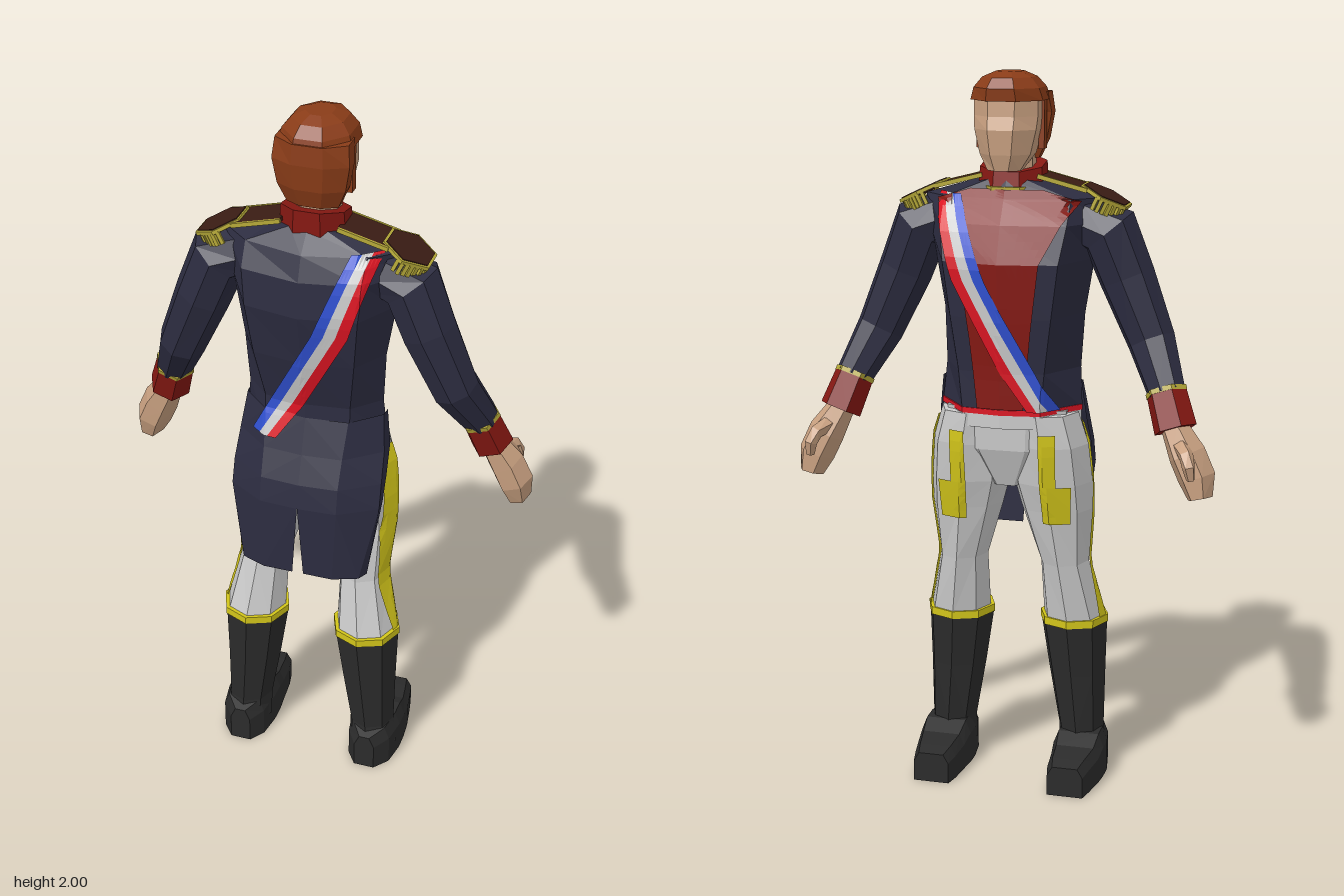
import * as THREE from 'three';

const C = {
  navy: 0x2c2c40, red: 0x861812, hair: 0x8a3c18, skin: 0xc8a080, boot: 0x2b2b2b, white: 0xcccccc,
  yellow: 0xd2c51a, gold: 0xb5a838, brown: 0x3a1c14, blue: 0x3050d0, sashRed: 0xdc1422,
};
const V = (x, y, z) => new THREE.Vector3(x, y, z);

function mesh(name, geo, color, thin = false) {
  const m = new THREE.Mesh(geo, new THREE.MeshStandardMaterial({
    color, flatShading: true, side: thin ? THREE.DoubleSide : THREE.FrontSide }));
  m.name = name;
  return m;
}

// Flat-shaded geometry from a grid of points; closed grids get end caps and outward faces
function loft(rings, closed = true) {
  const tris = [], n = rings[0].length;
  for (let i = 0; i < rings.length - 1; i++)
    for (let j = 0; j < (closed ? n : n - 1); j++) {
      const k = (j + 1) % n, a = rings[i][j], b = rings[i][k], c = rings[i + 1][k], d = rings[i + 1][j];
      tris.push([a, b, c], [a, c, d]);
    }
  if (closed) {
    const s = rings[0], e = rings[rings.length - 1];
    for (let j = 1; j < n - 1; j++) tris.push([s[0], s[j + 1], s[j]], [e[0], e[j], e[j + 1]]);
    const vol = tris.reduce((v, [a, b, c]) => v + a.dot(b.clone().cross(c)), 0);
    if (vol < 0) tris.forEach(t => t.reverse());
  }
  const g = new THREE.BufferGeometry().setFromPoints(tris.flat());
  g.computeVertexNormals();
  return g;
}

// Octagonal ring between x0..x1 and z0..z1; tilt raises the back, phase 0 puts corners on the axes
function oct([y, x0, x1, z0, z1, tilt = 0], phase) {
  const k = phase ? 1.08 : 1;
  return Array.from({ length: 8 }, (_, i) => {
    const a = (i + phase) * Math.PI / 4, s = Math.sin(a) * k, c = Math.cos(a) * k;
    return V((x0 + x1) / 2 + c * (x1 - x0) / 2, y + s * tilt, (z0 + z1) / 2 + s * (z1 - z0) / 2);
  });
}
const octLoft = (rows, phase = 0.5) => loft(rows.map(r => oct(r, phase)));

// Limb with rings square to its path: [x, y, z, radius across, radius fore-aft]
function limb(path, n = 6) {
  return loft(path.map((p, i) => {
    const a = path[Math.max(i - 1, 0)], b = path[Math.min(i + 1, path.length - 1)];
    const t = V(b[0] - a[0], b[1] - a[1], b[2] - a[2]).normalize();
    const u = t.clone().cross(V(0, 0, 1)).normalize(), w = u.clone().cross(t);
    return Array.from({ length: n }, (_, k) => {
      const q = k / n * Math.PI * 2;
      return V(p[0], p[1], p[2]).addScaledVector(u, Math.cos(q) * p[3])
        .addScaledVector(w, Math.sin(q) * (p[4] ?? p[3]));
    });
  }));
}

// Cloth patch projected onto meshes along dir; rows are [y, from, to]
function drape(targets, dir, rows, cols = 4, steps = 5) {
  const ray = new THREE.Raycaster(), grid = [];
  let depth = 0;
  const addRow = (y, a, b) => grid.push(Array.from({ length: cols + 1 }, (_, j) => {
    const s = a + (b - a) * j / cols;
    const o = dir.x ? V(-dir.x * 2, y, s) : V(s, y, -dir.z * 2);
    ray.set(o, dir);
    const hit = ray.intersectObjects(targets)[0];
    if (hit) depth = hit.distance - 0.007;
    return o.addScaledVector(dir, depth);
  }));
  rows.forEach((r, i) => {
    if (i) for (let k = 1; k <= steps; k++)
      addRow(...r.map((v, q) => THREE.MathUtils.lerp(rows[i - 1][q], v, k / steps)));
    else addRow(...r);
  });
  return loft(grid, false);
}

// Torso ring: front z, front corner, side, back corner, back z
const bodyRing = ([y, f, fx, fz, sx, sz, bx, bz, b]) => {
  const half = [[fx, fz], [sx, sz], [bx, bz]];
  return [V(0, y, f), ...half.map(([x, z]) => V(x, y, z)), V(0, y, b),
    ...half.reverse().map(([x, z]) => V(-x, y, z))];
};

// Everything that exists once per side, built on +x
function buildSide() {
  const g = new THREE.Group();
  const add = (...a) => { const m = mesh(...a); g.add(m); return m; };

  // trouser leg with stripes
  const leg = add('trouserLeg', octLoft([
    [1.08, 0.0, 0.195, -0.12, 0.085], [0.99, 0.0, 0.222, -0.12, 0.1], [0.88, 0.005, 0.232, -0.105, 0.11],
    [0.8, 0.027, 0.232, -0.086, 0.1], [0.64, 0.078, 0.217, -0.057, 0.118], [0.46, 0.08, 0.258, -0.028, 0.16]], 0), C.white);
  add('sideStripe', drape([leg], V(-1, 0, 0),
    [[1.05, -0.012, 0.04], [0.8, -0.005, 0.075], [0.62, 0.022, 0.09], [0.47, 0.03, 0.085]]), C.yellow, true);
  add('thighBraid', drape([leg], V(0, 0, 1), [[1.03, 0.105, 0.15], [0.88, 0.105, 0.15]]), C.yellow, true);
  add('thighBraidFoot', drape([leg], V(0, 0, 1), [[0.88, 0.105, 0.19], [0.77, 0.11, 0.185]]), C.yellow, true);

  // boot
  add('bootShaft', octLoft([[0.05, 0.125, 0.27, 0, 0.155], [0.13, 0.125, 0.257, -0.005, 0.142],
    [0.3, 0.095, 0.26, -0.015, 0.152], [0.455, 0.071, 0.264, -0.032, 0.165]], 0), C.boot);
  add('bootTrim', octLoft([[0.45, 0.069, 0.267, -0.035, 0.168], [0.472, 0.069, 0.267, -0.035, 0.168]], 0), C.yellow);
  add('foot', loft([[0.163, 0.165, 0.225, 0.11], [0.12, 0.135, 0.26, 0.125], [0.05, 0.125, 0.272, 0.13],
    [0, 0.125, 0.272, 0.128], [-0.05, 0.13, 0.268, 0.104], [-0.12, 0.136, 0.256, 0.095],
    [-0.163, 0.145, 0.247, 0.085]].map(([z, a, b, h]) =>
    [V(a, 0, z), V(b, 0, z), V(b, h * 0.7, z), V(b - 0.015, h, z), V(a + 0.015, h, z), V(a, h * 0.7, z)])), C.boot);

  // arm, cuff and hand
  add('sleeve', limb([[0.19, 1.6, 0.03, 0.07], [0.265, 1.575, 0.03, 0.085], [0.315, 1.45, 0.035, 0.078],
    [0.388, 1.28, 0.02, 0.067], [0.447, 1.15, -0.052, 0.052]], 8), C.navy);
  add('cuff', limb([[0.444, 1.155, -0.05, 0.056], [0.476, 1.062, -0.08, 0.06]], 6), C.red);
  add('cuffTrim', limb([[0.441, 1.163, -0.046, 0.058], [0.445, 1.151, -0.051, 0.058]], 6), C.gold);
  add('hand', limb([[0.472, 1.07, -0.08, 0.038, 0.042], [0.512, 1.0, -0.098, 0.052, 0.058],
    [0.54, 0.94, -0.104, 0.052, 0.06], [0.553, 0.885, -0.115, 0.034, 0.048]]), C.skin);
  add('thumb', limb([[0.495, 1.03, -0.11, 0.025], [0.52, 1.012, -0.165, 0.02],
    [0.53, 0.985, -0.178, 0.018], [0.535, 0.95, -0.172, 0.012]], 5), C.skin);

  // shoulder strap and hexagonal epaulette with fringe
  const strap = new THREE.Group();
  strap.name = 'shoulderStrap';
  strap.position.set(0.145, 1.705, 0.03);
  strap.rotation.z = -0.25;
  strap.add(mesh('strapCloth', new THREE.BoxGeometry(0.14, 0.01, 0.1), C.brown));
  for (const s of [-1, 1]) {
    const edge = mesh('strapEdge', new THREE.BoxGeometry(0.14, 0.012, 0.007), C.gold);
    edge.position.z = s * 0.052;
    strap.add(edge);
  }
  const ep = new THREE.Group();
  ep.name = 'epaulette';
  ep.position.set(0.255, 1.67, 0.03);
  ep.rotation.z = -0.44;
  ep.add(mesh('epauletteRim', new THREE.CylinderGeometry(0.078, 0.078, 0.01, 6), C.gold));
  ep.add(mesh('epauletteTop', new THREE.CylinderGeometry(0.07, 0.07, 0.015, 6), C.brown));
  for (let i = 0; i <= 16; i++) {
    const a = (i / 16 - 0.5) * Math.PI * 1.1;
    const fold = ((a + Math.PI * 4) % (Math.PI / 3)) - Math.PI / 6;
    const r = 0.073 * Math.cos(Math.PI / 6) / Math.cos(fold - (fold > 0 ? Math.PI / 6 : -Math.PI / 6));
    const tassel = mesh('fringe', new THREE.BoxGeometry(0.01, 0.036, 0.01), C.gold);
    tassel.position.set(Math.cos(a) * r * 0.93, -0.02, Math.sin(a) * r);
    tassel.rotation.y = -a;
    ep.add(tassel);
  }
  g.add(strap, ep);
  return g;
}

export function createModel() {
  const root = new THREE.Group();
  const add = (...a) => { const m = mesh(...a); root.add(m); return m; };

  for (const s of [1, -1]) {
    const side = buildSide();
    side.name = s > 0 ? 'leftSide' : 'rightSide';
    side.scale.x = s;
    root.add(side);
  }

  // coat body
  const torso = add('coatBody', loft([
    [1.09, -0.13, 0.11, -0.115, 0.2, 0.005, 0.12, 0.1, 0.115],
    [1.2, -0.132, 0.12, -0.115, 0.192, 0.02, 0.12, 0.095, 0.11],
    [1.35, -0.147, 0.14, -0.125, 0.2, 0.03, 0.14, 0.13, 0.15],
    [1.5, -0.156, 0.16, -0.13, 0.225, 0.03, 0.155, 0.152, 0.18],
    [1.6, -0.12, 0.175, -0.095, 0.25, 0.03, 0.165, 0.14, 0.17],
    [1.665, -0.08, 0.175, -0.045, 0.25, 0.03, 0.165, 0.105, 0.145],
    [1.715, -0.06, 0.05, -0.045, 0.08, 0.02, 0.05, 0.085, 0.095]].map(bodyRing)), C.navy);

  // coat tails, split behind
  const tails = [1, -1].map(s => add('coatTail', loft([
    [1.16, 0, 0.114, 0.118, 0.102, 0.196, 0.03, 0.198, 0],
    [1.06, 0, 0.148, 0.112, 0.138, 0.208, 0.06, 0.21, 0.01],
    [0.98, 0, 0.178, 0.11, 0.17, 0.213, 0.1, 0.214, 0.055],
    [0.91, 0, 0.19, 0.11, 0.184, 0.214, 0.12, 0.212, 0.08],
    [0.69, 0.016, 0.187, 0.1, 0.187, 0.17, 0.16, 0.185, 0.13]].map(([y, ...p]) =>
    [0, 2, 4, 6].map(i => V(s * p[i], y, p[i + 1]))), false), C.navy, true));

  // trouser seat and waistband
  add('trouserSeat', octLoft([[1.09, -0.17, 0.17, -0.117, 0.085], [0.98, -0.16, 0.16, -0.112, 0.09],
    [0.87, -0.06, 0.06, -0.07, 0.08]]), C.white);
  const band = (y, k) => bodyRing([y, -0.13 - k, 0.11, -0.115 - k, 0.198 + k, 0, 0.11, 0.08, 0.09]);
  add('waistband', loft([band(1.045, 0), band(1.085, 0)]), C.white);
  add('waistPiping', loft([band(1.083, 0.003), band(1.098, 0.003)]), C.sashRed);

  // red plastron
  const back = V(0, 0, 1), fore = V(0, 0, -1);
  add('plastron', drape([torso], back, [[1.1, -0.065, 0.065], [1.3, -0.085, 0.085], [1.5, -0.11, 0.11],
    [1.6, -0.16, 0.16], [1.66, -0.2, 0.2], [1.69, -0.1, 0.1]], 12), C.red, true);

  // tricolour sash, front and back: [y, left edge, stripe width]
  [C.blue, C.white, C.sashRed].forEach((color, i) => {
    const strip = [[1.675, 0.126, 0.025], [1.45, 0.035, 0.032], [1.2, -0.1, 0.032], [1.095, -0.155, 0.026]]
      .map(([y, x, w]) => [y, x + i * w, x + (i + 1) * w]);
    for (const dir of [back, fore]) {
      const geo = drape([torso, ...tails], dir, strip, 3, 7);
      geo.translate(0, 0, -dir.z * 0.004);
      add('sash', geo, color, true);
    }
  });

  // collar and its gold piping
  add('collar', octLoft([[1.69, -0.09, 0.09, -0.065, 0.1, 0.008], [1.752, -0.086, 0.086, -0.058, 0.1, 0.016]]), C.red);
  add('collarPiping', octLoft([[1.69, -0.094, 0.094, -0.07, 0.095, 0.004], [1.7, -0.094, 0.094, -0.07, 0.095, 0.004]]), C.gold);

  // neck and face
  add('neck', octLoft([[1.7, -0.06, 0.06, -0.045, 0.07], [1.82, -0.06, 0.06, -0.045, 0.06]]), C.skin);
  add('face', octLoft([[1.742, -0.045, 0.045, -0.11, -0.03], [1.785, -0.07, 0.07, -0.12, 0.04],
    [1.85, -0.085, 0.085, -0.125, 0.06], [1.885, -0.088, 0.088, -0.114, 0.06], [1.95, -0.088, 0.088, -0.11, 0.06]]), C.skin);

  // hair: back of the head, crown and sideburns
  add('hairBack', octLoft([[1.768, -0.07, 0.07, 0, 0.072], [1.82, -0.092, 0.092, -0.005, 0.09],
    [1.89, -0.104, 0.104, -0.005, 0.097], [1.945, -0.098, 0.098, -0.03, 0.094]]), C.hair);
  add('hairCrown', octLoft([[1.925, -0.1, 0.1, -0.116, 0.094], [1.958, -0.09, 0.09, -0.12, 0.086],
    [1.985, -0.068, 0.068, -0.1, 0.06], [2.0, -0.035, 0.035, -0.06, 0.025]]), C.hair);
  for (const s of [-1, 1]) {
    const burn = mesh('sideburn', new THREE.BoxGeometry(0.016, 0.13, 0.03), C.hair);
    burn.position.set(s * 0.086, 1.86, -0.003);
    root.add(burn);
  }
  return root;
}
